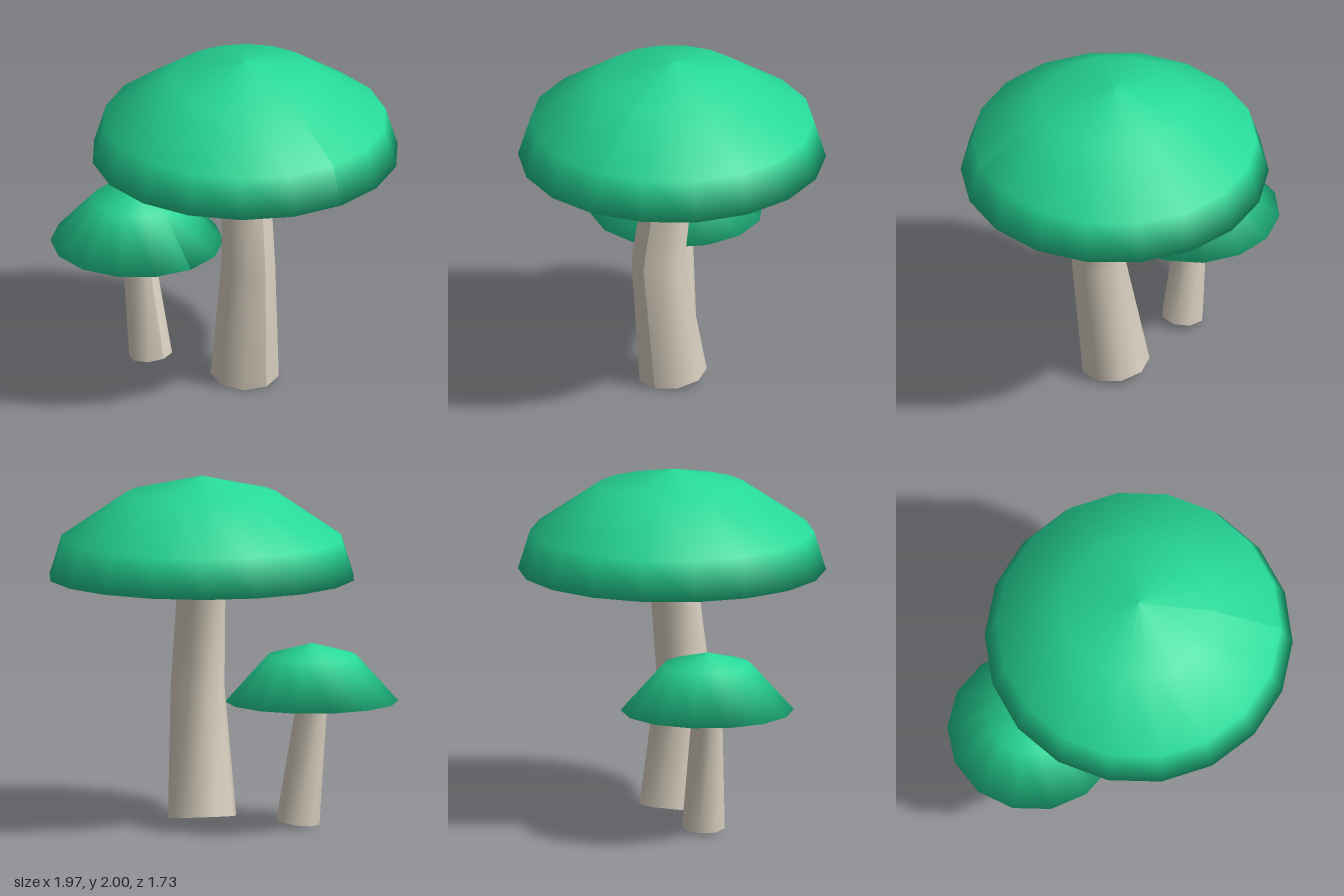
import * as THREE from 'three';

const capGreen = new THREE.MeshStandardMaterial({ color: 0x26d998 });
const stemBeige = new THREE.MeshStandardMaterial({ color: 0xd9d0c0, side: THREE.DoubleSide });
capGreen.name = 'capGreen';
stemBeige.name = 'stemBeige';

// Faceted dome with a closed underside; profile runs from underside to apex
function makeCap(name, profile, sides, x, z) {
  const points = profile.map(([r, y]) => new THREE.Vector2(r, y));
  const geometry = new THREE.LatheGeometry(points, sides, Math.PI / 2);
  geometry.computeVertexNormals();
  const cap = new THREE.Mesh(geometry, capGreen);
  cap.name = name;
  cap.position.set(x, 0, z);
  return cap;
}

// Open, tapering tube through rings given as [x, y, z, radius], bottom to top
function makeStem(name, rings, sides) {
  const last = rings.length - 1;
  const centres = rings.map(([x, y, z]) => new THREE.Vector3(x, y, z));
  const up = new THREE.Vector3(0, 1, 0);
  const tilts = centres.map((c, i) => {
    const tangent = centres[Math.min(i + 1, last)].clone().sub(centres[Math.max(i - 1, 0)]);
    return new THREE.Quaternion().setFromUnitVectors(up, tangent.normalize());
  });
  const geometry = new THREE.CylinderGeometry(1, 1, 1, sides, last, true, Math.PI / 2);
  const position = geometry.attributes.position;
  const v = new THREE.Vector3();
  for (let i = 0; i < position.count; i++) {
    v.fromBufferAttribute(position, i);
    const k = Math.round((v.y + 0.5) * last);
    v.y = 0;
    v.multiplyScalar(rings[k][3]).applyQuaternion(tilts[k]).add(centres[k]);
    position.setXYZ(i, v.x, v.y, v.z);
  }
  geometry.computeVertexNormals();
  const stem = new THREE.Mesh(geometry, stemBeige);
  stem.name = name;
  return stem;
}

export function createModel() {
  const model = new THREE.Group();
  model.name = 'mushrooms';

  const large = new THREE.Group();
  large.name = 'largeMushroom';
  large.add(
    makeCap('largeCap', [[0, 1.36], [0.88, 1.415], [0.81, 1.64], [0.43, 1.9], [0, 2]], 18, 0.1, 0),
    makeStem('largeStem', [[0.097, 0.03, 0, 0.198], [0.187, 0.77, 0.045, 0.156], [0.1, 1.41, 0, 0.138]], 9)
  );

  const small = new THREE.Group();
  small.name = 'smallMushroom';
  small.add(
    makeCap('smallCap', [[0, 0.685], [0.495, 0.735], [0.255, 1.0], [0, 1.07]], 14, -0.49, 0.32),
    makeStem('smallStem', [[-0.412, 0.033, 0.283, 0.124], [-0.49, 0.72, 0.32, 0.088]], 8)
  );

  model.add(large, small);
  return model;
}
